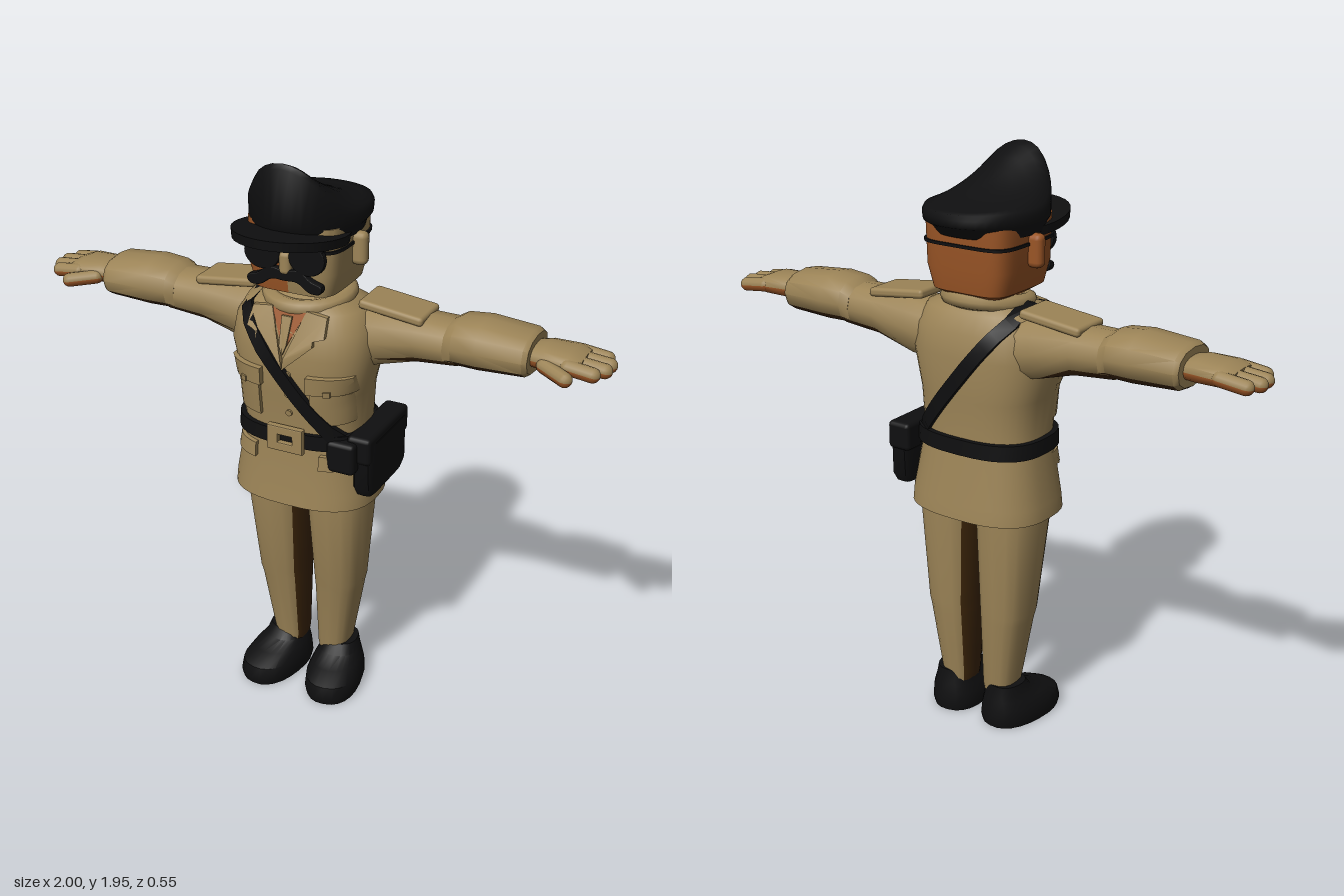
import * as THREE from 'three';
import { toCreasedNormals } from 'three/addons/utils/BufferGeometryUtils.js';
import { RoundedBoxGeometry } from 'three/addons/geometries/RoundedBoxGeometry.js';

const V = (x, y, z) => new THREE.Vector3(x, y, z);
const material = (name, color) => Object.assign(new THREE.MeshStandardMaterial({ color }), { name });

// Superellipse outline as [u, v] pairs; small e is boxy, 1 is round
function section(n, a, b, e) {
  const p = (v) => Math.sign(v) * Math.abs(v) ** e;
  return Array.from({ length: n }, (_, i) => {
    const t = (i / n) * Math.PI * 2;
    return [a * p(Math.cos(t)), b * p(Math.sin(t))];
  });
}

// Capped skin over a list of rings, always wound outward
function loft(rings, crease = 0.7) {
  const n = rings[0].length, pts = rings.flat(), idx = [];
  for (let r = 0; r < rings.length - 1; r++) for (let i = 0; i < n; i++) {
    const a = r * n + i, b = r * n + (i + 1) % n;
    idx.push(a, a + n, b, b, a + n, b + n);
  }
  for (const r of [0, rings.length - 1]) {
    const c = rings[r].reduce((s, p) => s.add(p), V(0, 0, 0)).divideScalar(n);
    for (let i = 0; i < n; i++) {
      const a = r * n + i, b = r * n + (i + 1) % n;
      idx.push(pts.length, ...(r ? [b, a] : [a, b]));
    }
    pts.push(c);
  }
  let vol = 0;
  for (let i = 0; i < idx.length; i += 3) vol += pts[idx[i]].dot(pts[idx[i + 1]].clone().cross(pts[idx[i + 2]]));
  if (vol < 0) idx.reverse();
  const g = new THREE.BufferGeometry().setFromPoints(pts);
  g.setIndex(idx);
  return toCreasedNormals(g, crease);
}

// Upright loft from rows of [y, halfWidth, zFront, zBack]
const upright = (rows, n, e, grow = 0, cx = 0) => loft(rows.map(([y, w, f, b]) =>
  section(n, w + grow, (f - b) / 2 + grow, e).map(([u, v]) => V(cx + u, y, (f + b) / 2 + v))));

// Gives each face material 1 where rule(normal, centre) holds, else material 0
function paint(geo, rule) {
  const g = geo.index ? geo.toNonIndexed() : geo, p = g.attributes.position;
  const t = new THREE.Triangle(), n = V(0, 0, 0), c = V(0, 0, 0);
  g.clearGroups();
  for (let i = 0; i < p.count; i += 3) {
    t.setFromAttributeAndIndices(p, i, i + 1, i + 2);
    t.getNormal(n); t.getMidpoint(c);
    const m = rule(n, c) ? 1 : 0, last = g.groups.at(-1);
    if (last && last.materialIndex === m) last.count += 3; else g.addGroup(i, 3, m);
  }
  return g;
}

const TORSO = [[0.78, 0.25, 0.125, -0.255], [0.83, 0.246, 0.12, -0.25], [1.0, 0.215, 0.105, -0.222],
  [1.05, 0.21, 0.105, -0.218], [1.18, 0.216, 0.122, -0.228], [1.32, 0.248, 0.13, -0.232],
  [1.4, 0.235, 0.115, -0.222], [1.46, 0.2, 0.085, -0.195], [1.5, 0.11, 0.035, -0.15]];
const ROUND = 0.75;

// Depth of the jacket surface at (x, y), front or back
function surface(x, y, side = 1) {
  let i = 0;
  while (i < TORSO.length - 2 && TORSO[i + 1][0] < y) i++;
  const k = THREE.MathUtils.clamp((y - TORSO[i][0]) / (TORSO[i + 1][0] - TORSO[i][0]), 0, 1);
  const [, w, f, b] = TORSO[i].map((v, j) => v + (TORSO[i + 1][j] - v) * k);
  const h = Math.max(0, 1 - (Math.abs(x) / w) ** (2 / ROUND)) ** (ROUND / 2);
  return (f + b) / 2 + side * h * (f - b) / 2;
}

// Lays a geometry modelled around z = 0 onto the jacket front
function drape(g, off = 0) {
  const p = g.attributes.position;
  for (let i = 0; i < p.count; i++) p.setZ(i, p.getZ(i) + off + surface(p.getX(i), p.getY(i)));
  return toCreasedNormals(g, 0.6);
}
const plate = (x, y, w, h, d) => drape(new THREE.BoxGeometry(w, h, d, 8, 4, 1).translate(x, y, 0));
const extrude = (shape, depth, bevel = 0) => new THREE.ExtrudeGeometry(shape,
  { depth, curveSegments: 16, bevelEnabled: bevel > 0, bevelSize: bevel, bevelThickness: bevel, bevelSegments: 2 });
const polygon = (pts) => new THREE.Shape(pts.map(([x, y]) => new THREE.Vector2(x, y)));

function capsule(a, b, r) {
  const d = b.clone().sub(a), g = new THREE.CapsuleGeometry(r, d.length(), 5, 12);
  g.applyQuaternion(new THREE.Quaternion().setFromUnitVectors(V(0, 1, 0), d.clone().normalize()));
  const m = a.clone().add(b).multiplyScalar(0.5);
  return g.translate(m.x, m.y, m.z);
}

export function createModel() {
  const root = new THREE.Group();
  root.name = 'officer';
  const khaki = material('khaki', 0x9c8457), skin = material('skin', 0x9a5526);
  const brown = material('darkBrown', 0x3c2509), black = material('black', 0x0f0f10);
  const add = (name, geo, mat, parent = root) => {
    const m = new THREE.Mesh(geo, mat);
    m.name = name;
    parent.add(m);
    return m;
  };

  // Jacket, belt and buckle
  add('jacket', paint(upright(TORSO, 40, ROUND), (n) => n.y < -0.8), [khaki, black]);
  add('belt', upright([[1.0, 0.215, 0.105, -0.222], [1.052, 0.212, 0.105, -0.22]], 40, ROUND, 0.016), black);
  const frame = polygon([[-0.055, 0.99], [0.065, 0.99], [0.065, 1.07], [-0.055, 1.07]]);
  frame.holes.push(polygon([[-0.025, 1.012], [-0.025, 1.048], [0.035, 1.048], [0.035, 1.012]]));
  add('buckle', extrude(frame, 0.016, 0.004).translate(0, 0, 0.12), khaki);

  // Diagonal strap over the right shoulder, front and back
  const strap = [], S = 12, wx = 0.018, wy = 0.014;
  const strapRow = (k, side) => {
    const x = -0.165 + 0.365 * k, y = 1.45 - 0.45 * k;
    const at = (q, off) => V(x + q * wx, y + q * wy, surface(x + q * wx, y + q * wy, side) + side * off);
    return [at(1, 0.02), at(-1, 0.02), at(-1, -0.015), at(1, -0.015)];
  };
  for (let i = S; i >= 0; i--) strap.push(strapRow(i / S, 1));
  strap.push([V(-0.135, 1.5, -0.06), V(-0.18, 1.485, -0.06), V(-0.18, 1.45, -0.06), V(-0.135, 1.46, -0.06)]);
  for (let i = 0; i <= S; i++) strap.push(strapRow(i / S, -1));
  add('shoulderStrap', loft(strap), black);

  // Holster with flap and a small front pouch on the left hip
  const box = (w, h, d, r, x, y, z) => new RoundedBoxGeometry(w, h, d, 2, r).translate(x, y, z);
  add('holster', upright([[0.84, 0.03, 0.05, -0.21], [0.87, 0.038, 0.065, -0.225], [1.03, 0.035, 0.07, -0.23]], 20, 0.35, 0, 0.247), black);
  add('holsterFlap', box(0.085, 0.095, 0.315, 0.015, 0.237, 1.01, -0.082), black);
  add('pouch', box(0.1, 0.11, 0.07, 0.015, 0.185, 0.985, 0.07), black);

  // Neck, collar, shirt opening and tie
  add('neck', new THREE.CylinderGeometry(0.085, 0.095, 0.12, 20).translate(0, 1.5, -0.06), skin);
  const collar = add('collar', new THREE.TorusGeometry(0.115, 0.028, 8, 28), khaki);
  collar.rotation.x = Math.PI / 2 + 0.12;
  collar.scale.set(1.1, 1.08, 1);
  collar.position.set(0, 1.482, -0.055);
  add('shirtOpening', drape(extrude(polygon([[-0.06, 1.465], [0, 1.34], [0.06, 1.465]]), 0.008), 0.004), skin);
  add('tie', drape(extrude(polygon([[-0.018, 1.45], [-0.012, 1.36], [0, 1.33], [0.012, 1.36], [0.018, 1.45]]), 0.008), 0.01), khaki);
  [1.12, 1.19, 1.26].forEach((y) =>
    add('jacketButton', drape(new THREE.CylinderGeometry(0.011, 0.011, 0.016, 10).rotateX(Math.PI / 2).translate(0.012, y, 0)), khaki));

  for (const s of [1, -1]) {
    const side = new THREE.Group();
    side.name = s > 0 ? 'leftSide' : 'rightSide';
    root.add(side);
    const put = (name, geo, mat) => add(name, geo, mat, side);
    const flip = (pts) => polygon(pts.map(([x, y]) => [x * s, y]));

    // Lapels and pockets
    put('lapel', drape(extrude(flip([[0.06, 1.47], [0.13, 1.46], [0.135, 1.4], [0.1, 1.39], [0.1, 1.37], [0.0, 1.28], [0.005, 1.32]]), 0.016), 0.004), khaki);
    put('chestPocket', plate(s * 0.148, 1.15, 0.115, 0.11, 0.03), khaki);
    put('chestPocketFlap', plate(s * 0.148, 1.238, 0.135, 0.06, 0.045), khaki);
    put('pocketButton', plate(s * 0.148, 1.215, 0.02, 0.02, 0.058), khaki);
    put('lowerPocketFlap', plate(s * 0.165, 0.955, 0.1, 0.05, 0.035), khaki);

    // Sleeve and cuff, darker beneath
    const along = (rows, n) => loft(rows.map(([x, cy, hy, hz, cz = -0.09]) =>
      section(n, hz, hy, 0.85).map(([u, v]) => V(s * x, cy + v, cz + u))));
    const under = (n) => n.y < -0.75;
    put('sleeve', paint(along([[0.1, 1.35, 0.1, 0.095], [0.24, 1.365, 0.1, 0.1], [0.38, 1.385, 0.078, 0.096],
      [0.52, 1.39, 0.07, 0.095]], 12), under), [khaki, brown]);
    put('cuff', paint(along([[0.48, 1.39, 0.07, 0.096], [0.51, 1.402, 0.076, 0.108], [0.59, 1.405, 0.08, 0.114],
      [0.74, 1.402, 0.07, 0.108], [0.755, 1.402, 0.06, 0.098]], 12), under), [khaki, brown]);
    const board = put('epaulette', new RoundedBoxGeometry(0.22, 0.03, 0.15, 2, 0.012), khaki);
    board.position.set(s * 0.295, 1.468, -0.09);
    board.rotation.z = -s * 0.12;

    // Hand with a skin coloured palm
    const palm = (n) => n.y < -0.12;
    put('palm', paint(along([[0.72, 1.4, 0.032, 0.06], [0.79, 1.405, 0.04, 0.078], [0.87, 1.405, 0.036, 0.088],
      [0.91, 1.4, 0.025, 0.086]], 16), palm), [khaki, skin]);
    [0.955, 0.976, 0.974, 0.95].forEach((tip, i) => {
      const z = -0.157 + i * 0.045;
      put('finger', paint(capsule(V(s * 0.87, 1.405, z), V(s * tip, 1.395, z), 0.024), palm), [khaki, skin]);
    });
    put('thumb', paint(capsule(V(s * 0.8, 1.395, -0.02), V(s * 0.88, 1.385, 0.025), 0.024), palm), [khaki, skin]);

    // Trouser leg with dark inner seam, and shoe
    const leg = [[0.88, 0.112, 0.1, -0.075, 0.125], [0.78, 0.113, 0.108, -0.075, 0.127], [0.42, 0.106, 0.084, -0.092, 0.097],
      [0.39, 0.103, 0.08, -0.094, 0.092], [0.14, 0.085, 0.057, -0.1, 0.066], [0.1, 0.085, 0.05, -0.1, 0.06]];
    put('trouserLeg', paint(loft(leg.map(([y, cx, hw, cz, hz]) =>
      section(16, hw, hz, 0.75).map(([u, v]) => V(s * cx + u, y, cz + v)))), (n) => n.x * s < -0.85), [khaki, brown]);
    const shoe = put('shoe', upright([[0, 0.092, 0.215, -0.09], [0.025, 0.098, 0.222, -0.095], [0.065, 0.095, 0.21, -0.09],
      [0.095, 0.082, 0.15, -0.085], [0.115, 0.07, 0.08, -0.08], [0.15, 0.062, 0.055, -0.075]], 24, 0.85), black);
    shoe.position.set(s * 0.105, 0, -0.095);
    shoe.rotation.y = s * 0.17;

    // Ear and sunglass lens
    put('ear', box(0.055, 0.11, 0.045, 0.02, s * 0.175, 1.655, -0.05), s > 0 ? khaki : skin);
    const lens = new THREE.Shape().absellipse(s * 0.077, 1.656, 0.058, 0.05, 0, Math.PI * 2);
    put('lens', extrude(lens, 0.012, 0.004).translate(0, 0, 0.11), black);
  }

  // Head: skin on the back and right half, khaki elsewhere
  add('head', paint(upright([[1.5, 0.1, 0.04, -0.16], [1.525, 0.14, 0.095, -0.2], [1.6, 0.158, 0.108, -0.212],
    [1.75, 0.162, 0.11, -0.215]], 48, 0.4), (n, c) => c.x < 0 || c.z < -0.165), [khaki, skin]);
  add('nose', box(0.04, 0.075, 0.035, 0.015, 0, 1.63, 0.112), khaki);
  add('glassesBand', upright([[1.672, 0.16, 0.108, -0.213], [1.682, 0.16, 0.108, -0.213]], 48, 0.4, 0.006), black);
  add('glassesBridge', box(0.26, 0.014, 0.016, 0.005, 0, 1.69, 0.118), black);
  const half = [[0.05, 1.612], [0.09, 1.585], [0.125, 1.572], [0.118, 1.552], [0.085, 1.553], [0.045, 1.578]];
  const curl = new THREE.SplineCurve([[0, 1.602], ...half, [0, 1.578], ...half.map(([x, y]) => [-x, y]).reverse(), [0, 1.602]]
    .map(([x, y]) => new THREE.Vector2(x, y)));
  add('moustache', extrude(new THREE.Shape(curl.getPoints(56).slice(0, -1)), 0.018, 0.004).translate(0, 0, 0.104), black);

  // Peaked cap: tall at the front, sloping to the back
  const crownY = (x, z) => 1.785 + 0.165 * THREE.MathUtils.clamp((z + 0.27) / 0.39, 0, 1) ** 1.8 * Math.max(0, 1 - (x / 0.19) ** 2);
  const capRing = (w, f, b, y) => section(40, w, (f - b) / 2, 0.92).map(([u, v]) => {
    const z = (f + b) / 2 + v;
    return V(u, typeof y === 'number' ? y : y(u, z), z);
  });
  const crown = [capRing(0.17, 0.125, -0.225, 1.705), capRing(0.176, 0.135, -0.24, 1.73), capRing(0.187, 0.145, -0.27, 1.745),
    capRing(0.188, 0.146, -0.275, (x, z) => crownY(x, z) - 0.015)];
  for (const k of [0.96, 0.8, 0.6, 0.4, 0.2, 0.05])
    crown.push(capRing(0.188 * k, -0.065 + 0.21 * k, -0.065 - 0.21 * k, crownY));
  add('cap', loft(crown, 1.1), black);
  const visor = add('capVisor', new THREE.CylinderGeometry(0.182, 0.178, 0.03, 36), black);
  visor.scale.z = 1.1;
  visor.rotation.x = -0.12;
  visor.position.set(0, 1.715, 0.075);

  return root;
}
